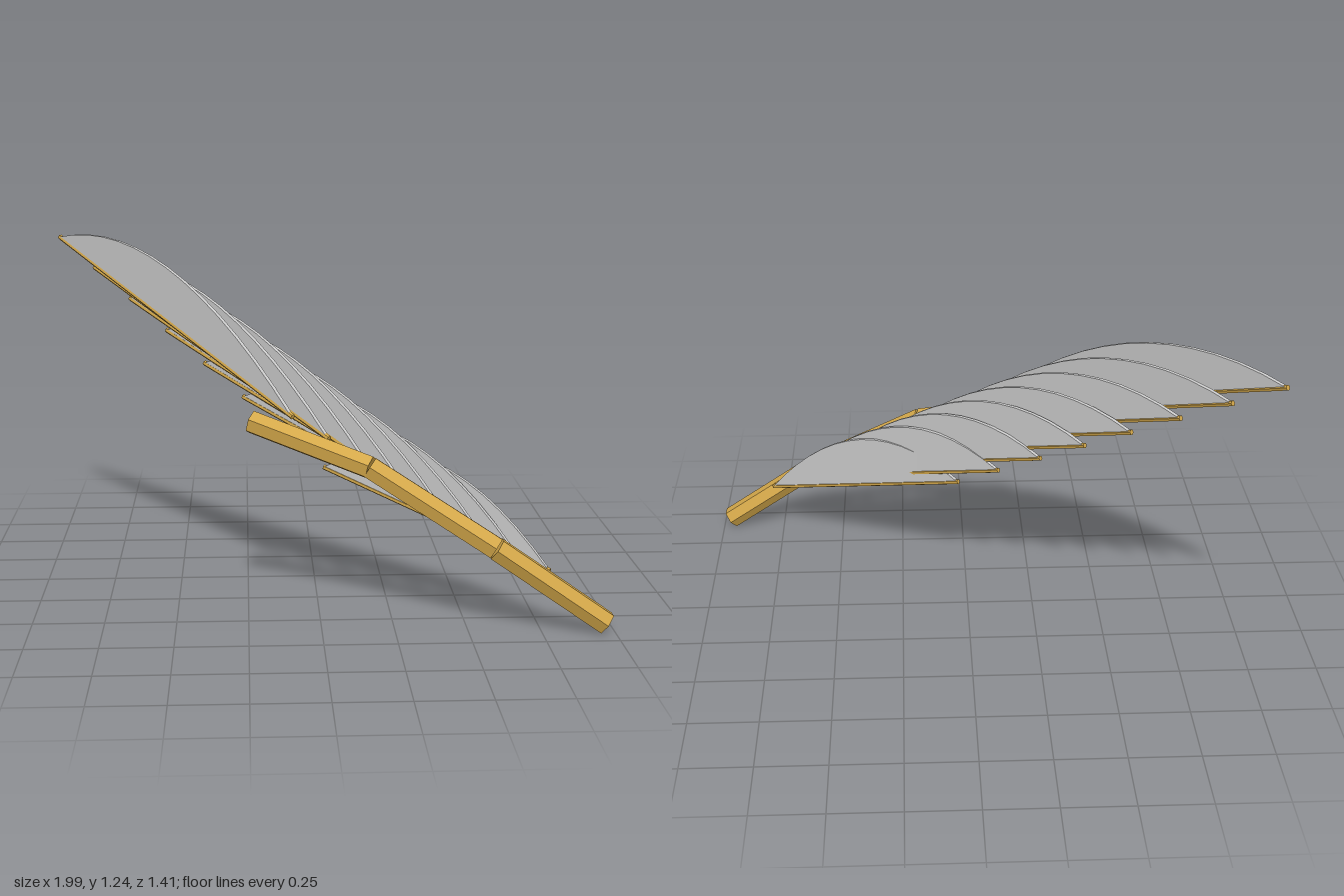
import * as THREE from 'three';

const gold = new THREE.MeshStandardMaterial({ color: 0xd4a84a, flatShading: true });
const grey = new THREE.MeshStandardMaterial({ color: 0xcccccc, flatShading: true });

// Six-sided rod between two points
function rod(name, a, b, radius) {
  const dir = b.clone().sub(a);
  const mesh = new THREE.Mesh(new THREE.CylinderGeometry(radius, radius, dir.length(), 6), gold);
  mesh.name = name;
  mesh.position.copy(a).add(b).multiplyScalar(0.5);
  mesh.quaternion.setFromUnitVectors(new THREE.Vector3(0, 1, 0), dir.normalize());
  return mesh;
}

// Feather: a thin shaft with an upright arched vane standing on it
function feather(root, tip) {
  const group = new THREE.Group();
  group.name = 'feather';
  group.add(rod('featherShaft', root, tip, 0.01));

  const d = tip.clone().sub(root);
  const run = Math.hypot(d.x, d.z);
  const shape = new THREE.Shape();
  shape.moveTo(0, 0);
  shape.lineTo(run, d.y);
  shape.quadraticCurveTo(run / 2, d.y / 2 + 0.4, 0, 0);
  const thickness = 0.014;
  const geometry = new THREE.ExtrudeGeometry(shape, {
    depth: thickness, bevelEnabled: false, curveSegments: 14,
  });
  geometry.translate(0, 0, -thickness / 2);
  const vane = new THREE.Mesh(geometry, grey);
  vane.name = 'featherVane';
  vane.position.copy(root);
  vane.rotation.y = Math.atan2(-d.z, d.x);
  group.add(vane);
  return group;
}

export function createModel() {
  const model = new THREE.Group();
  model.name = 'wing';

  // Three-part wing arm
  const joints = [
    [0.97, 0.038, 0.66], [0.59, 0.3, 0.637], [0.17, 0.555, 0.51], [-0.235, 0.682, 0.34],
  ].map((p) => new THREE.Vector3(...p));
  const names = ['innerArm', 'middleArm', 'outerArm'];
  names.forEach((name, i) => model.add(rod(name, joints[i], joints[i + 1], 0.043)));

  // Fan of feathers, evenly spaced from the outer end to the inner end
  const rootA = new THREE.Vector3(-0.09, 0.7, 0.35);
  const rootB = new THREE.Vector3(0.78, 0.21, 0.61);
  const tipA = new THREE.Vector3(-0.995, 1.222, -0.7);
  const tipB = new THREE.Vector3(0.03, 0.465, 0.135);
  const count = 8;
  for (let i = 0; i < count; i++) {
    const t = i / (count - 1);
    model.add(feather(rootA.clone().lerp(rootB, t), tipA.clone().lerp(tipB, t)));
  }
  return model;
}
